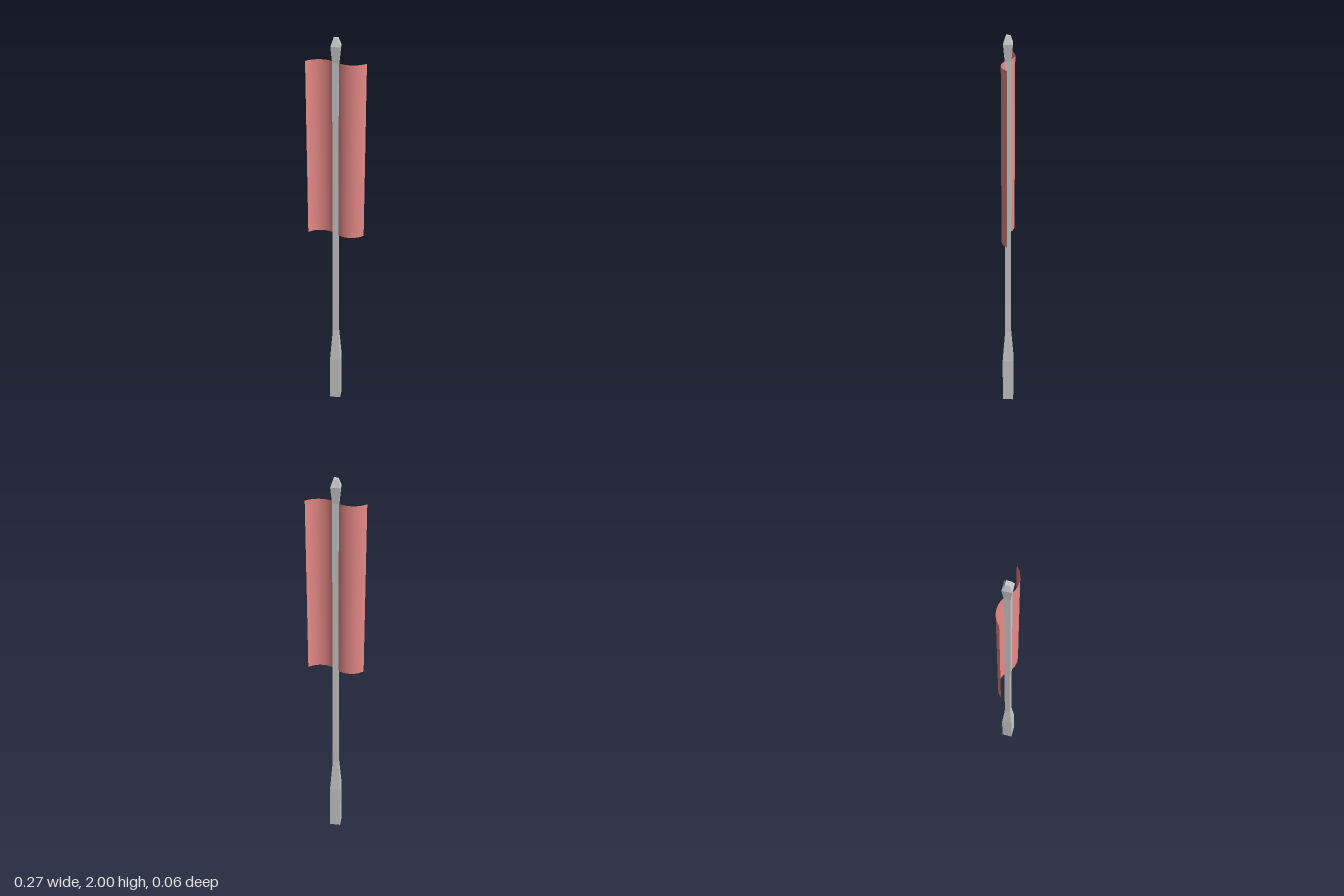
import * as THREE from 'three';

export function createModel() {
  const model = new THREE.Group();
  model.name = 'verticalTurbine';
  const grey = new THREE.MeshStandardMaterial({ color: 0xcccccc, flatShading: true });
  const red = new THREE.MeshStandardMaterial({ color: 0xe88b88, side: THREE.DoubleSide });

  // Square post with a thick foot and a faceted finial: [half width, height]
  const profile = [
    [0, 0], [0.0275, 0], [0.0275, 0.26], [0.0145, 0.44],
    [0.0145, 1.89], [0.0215, 1.965], [0.0098, 2], [0, 2],
  ].map(([half, y]) => new THREE.Vector2(half * Math.SQRT2, y));
  const post = new THREE.Mesh(new THREE.LatheGeometry(profile, 4, Math.PI / 4), grey);
  post.name = 'post';
  model.add(post);

  // Two thin curved blades, forming an S in plan
  const span = 0.135, bulge = 0.029, bottom = 1.02, top = 1.89;
  const radius = (span * span / 4 + bulge * bulge) / (2 * bulge);
  const angle = Math.asin(span / 2 / radius);
  const bladeGeometry = new THREE.CylinderGeometry(
    radius, radius, top - bottom, 24, 1, true, -angle, 2 * angle);
  bladeGeometry.translate(span / 2, (top + bottom) / 2, bulge - radius);
  ['leftBlade', 'rightBlade'].forEach((name, i) => {
    const blade = new THREE.Mesh(bladeGeometry, red);
    blade.name = name;
    blade.rotation.y = i * Math.PI;
    model.add(blade);
  });

  return model;
}
